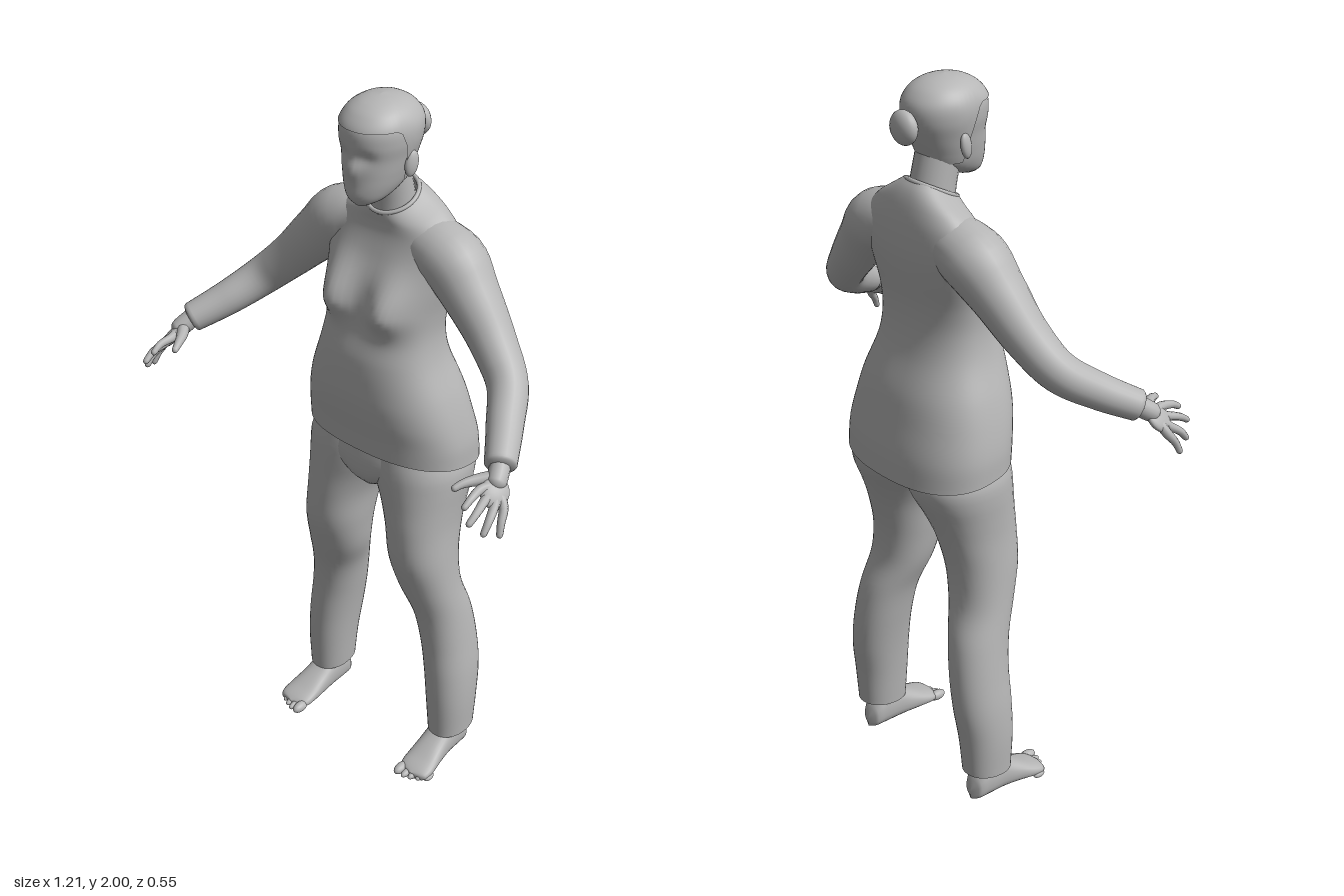
import * as THREE from 'three';

const grey = new THREE.MeshStandardMaterial({ color: 0xb6b6b6, side: THREE.DoubleSide });
grey.name = 'plain grey';

// Closed-around surface from fn(u, v), both 0..1
function surface(fn, nu, nv) {
  const pos = [], idx = [];
  for (let j = 0; j <= nv; j++) {
    for (let i = 0; i < nu; i++) pos.push(...fn(i / nu, j / nv));
  }
  for (let j = 0; j < nv; j++) {
    for (let i = 0; i < nu; i++) {
      const a = j * nu + i, b = j * nu + (i + 1) % nu;
      idx.push(a, b, b + nu, a, b + nu, a + nu);
    }
  }
  const g = new THREE.BufferGeometry();
  g.setAttribute('position', new THREE.Float32BufferAttribute(pos, 3));
  g.setIndex(idx);
  g.computeVertexNormals();
  return g;
}

// Smooth lookup in a table whose first column is the key
function sample(table, t) {
  const n = table.length;
  let i = 0;
  while (i < n - 2 && t > table[i + 1][0]) i++;
  const p0 = table[Math.max(i - 1, 0)], p1 = table[i], p2 = table[i + 1], p3 = table[Math.min(i + 2, n - 1)];
  const h = p2[0] - p1[0], s = Math.min(Math.max((t - p1[0]) / h, 0), 1);
  return p1.map((_, k) => {
    const m1 = (p2[k] - p0[k]) / (p2[0] - p0[0]) * h, m2 = (p3[k] - p1[k]) / (p3[0] - p1[0]) * h;
    const s2 = s * s, s3 = s2 * s;
    return (2 * s3 - 3 * s2 + 1) * p1[k] + (s3 - 2 * s2 + s) * m1 + (3 * s2 - 2 * s3) * p2[k] + (s3 - s2) * m2;
  });
}

const pow = (c, n) => Math.sign(c) * Math.pow(Math.abs(c), 2 / n);
const bump = (x, y, cx, cy, sx, sy) => Math.exp(-(((x - cx) / sx) ** 2) - ((y - cy) / sy) ** 2);

// Point on a rounded section: row = [y, x0, x1, zFront, zBack, tilt]
function ringPoint(table, y, u, n) {
  const [, x0, x1, zf, zb, tilt = 0] = sample(table, y);
  const a = u * Math.PI * 2;
  const dz = (zf - zb) / 2 * pow(Math.cos(a), n);
  return [(x0 + x1) / 2 + (x1 - x0) / 2 * pow(Math.sin(a), n), y + tilt * dz, (zf + zb) / 2 + dz];
}
const range = (table, v) => THREE.MathUtils.lerp(table[0][0], table[table.length - 1][0], v);
const both = rows => rows.map(([y, w, ...r]) => [y, -w, w, ...r]);

// Tapering tube; rows = [x, y, z, radius], rounded off over the last part
function taper(rows, tip, nu = 14, nv = 24) {
  const curve = new THREE.CatmullRomCurve3(rows.map(r => new THREE.Vector3(r[0], r[1], r[2])));
  const frames = curve.computeFrenetFrames(nv);
  const radii = rows.map((r, i) => [i / (rows.length - 1), r[3]]);
  // ring spacing by parameter, denser at the tip
  return surface((u, v) => {
    const k = Math.round(v * nv), t = 1 - Math.pow(1 - v, 1.6);
    const p = curve.getPoint(t), a = u * Math.PI * 2;
    const e = Math.max(0, (t - 1 + tip) / tip);
    const r = sample(radii, t)[1] * Math.sqrt(Math.max(0, 1 - e * e));
    const f = Math.min(nv, Math.round(t * nv));
    p.addScaledVector(frames.normals[k === nv ? nv : f], r * Math.cos(a));
    p.addScaledVector(frames.binormals[k === nv ? nv : f], r * Math.sin(a));
    return p.toArray();
  }, nu, nv);
}

function add(group, name, geo) {
  const m = new THREE.Mesh(geo, grey);
  m.name = name;
  group.add(m);
  return m;
}
function ball(group, name, p, s) {
  const m = add(group, name, new THREE.SphereGeometry(1, 20, 14));
  m.position.set(...p);
  m.scale.set(...s);
  return m;
}

const shirt = both([
  [0.995, 0.25, 0.045, -0.272, 0.16], [1.06, 0.248, 0.05, -0.266, 0.1], [1.13, 0.235, 0.06, -0.25, 0.04],
  [1.2, 0.215, 0.064, -0.233, 0], [1.3, 0.178, 0.057, -0.2, 0], [1.37, 0.166, 0.038, -0.187, 0],
  [1.44, 0.17, 0.018, -0.187, 0], [1.52, 0.185, 0, -0.2, 0], [1.58, 0.195, -0.02, -0.205, 0],
  [1.64, 0.185, -0.035, -0.2, -0.12], [1.68, 0.145, -0.038, -0.188, -0.28],
  [1.705, 0.098, -0.036, -0.174, -0.42], [1.72, 0.07, -0.035, -0.16, -0.5]]);
const seat = both([[0.885, 0.03, 0, -0.1], [0.92, 0.1, 0.03, -0.2], [0.97, 0.2, 0.037, -0.235], [1.03, 0.215, 0.03, -0.235]]);
const leg = [
  [0.09, 0.17, 0.285, -0.035, -0.178, -0.08], [0.2, 0.16, 0.29, -0.03, -0.187, 0], [0.3, 0.148, 0.287, -0.03, -0.2, 0],
  [0.4, 0.132, 0.275, -0.03, -0.2, 0], [0.5, 0.112, 0.262, -0.018, -0.187, 0], [0.6, 0.078, 0.25, 0.012, -0.158, 0],
  [0.7, 0.06, 0.242, 0.038, -0.16, 0], [0.8, 0.045, 0.236, 0.04, -0.185, 0], [0.87, 0.02, 0.238, 0.037, -0.212, 0],
  [0.93, -0.01, 0.242, 0.036, -0.24, 0], [0.98, -0.025, 0.24, 0.034, -0.248, 0], [1.04, -0.03, 0.215, 0.025, -0.22, 0]];
const skull = both([
  [1.735, 0.018, 0.036, 0.0], [1.75, 0.045, 0.048, -0.05], [1.78, 0.065, 0.056, -0.11], [1.82, 0.077, 0.056, -0.132],
  [1.86, 0.085, 0.056, -0.15], [1.9, 0.093, 0.06, -0.163], [1.94, 0.092, 0.056, -0.162], [1.97, 0.076, 0.034, -0.142],
  [1.988, 0.052, 0.006, -0.115], [1.997, 0.026, -0.025, -0.085], [2, 0, -0.052, -0.056]]);
// rows = [z, centre x, half width, top]
const sole = [
  [-0.163, 0.225, 0, 0.03], [-0.155, 0.225, 0.026, 0.06], [-0.12, 0.225, 0.038, 0.1], [-0.07, 0.225, 0.041, 0.1],
  [-0.02, 0.227, 0.045, 0.072], [0.03, 0.231, 0.05, 0.045], [0.06, 0.233, 0.048, 0.032], [0.075, 0.234, 0.035, 0.024], [0.08, 0.234, 0, 0.02]];

// Arm, leg and foot of the left side
function buildSide(group) {
  add(group, 'sleeve', taper([
    [0.1, 1.61, -0.115, 0.075], [0.18, 1.585, -0.115, 0.086], [0.255, 1.515, -0.103, 0.073], [0.34, 1.425, -0.085, 0.06],
    [0.415, 1.35, -0.05, 0.053], [0.473, 1.293, 0.03, 0.047], [0.533, 1.243, 0.122, 0.04]], 0.015, 24, 40));

  // Hand
  const wrist = [0.525, 1.25, 0.11];
  add(group, 'wrist', taper([[...wrist, 0.026], [0.54, 1.228, 0.14, 0.026], [0.55, 1.212, 0.165, 0.022]], 0.3));
  const palm = ball(group, 'palm', [0.552, 1.203, 0.165], [0.038, 0.016, 0.042]);
  const across = new THREE.Vector3(0.05, -0.04, -0.035).normalize();
  const along = new THREE.Vector3(0.022, -0.05, 0.06).normalize();
  const up = along.clone().cross(across).normalize();
  palm.quaternion.setFromRotationMatrix(new THREE.Matrix4().makeBasis(across, up, across.clone().cross(up)));
  const fingers = {
    indexFinger: [[0.53, 1.217, 0.192], [0.533, 1.212, 0.232], [0.532, 1.195, 0.263]],
    middleFinger: [[0.548, 1.198, 0.195], [0.556, 1.183, 0.24], [0.555, 1.162, 0.273]],
    ringFinger: [[0.566, 1.183, 0.183], [0.578, 1.157, 0.22], [0.58, 1.128, 0.245]],
    littleFinger: [[0.58, 1.175, 0.165], [0.592, 1.143, 0.188], [0.599, 1.11, 0.202]] };
  for (const [name, [a, b, c]] of Object.entries(fingers)) {
    add(group, name, taper([[0.545, 1.215, 0.155, 0.014], [...a, 0.0125], [...b, 0.01], [...c, 0.008]], 0.08, 10, 16));
  }
  add(group, 'thumb', taper([[0.535, 1.228, 0.14, 0.018], [0.507, 1.225, 0.175, 0.015],
    [0.488, 1.222, 0.208, 0.011], [0.476, 1.213, 0.236, 0.008]], 0.08, 10, 16));

  // Trouser leg
  add(group, 'trouserLeg', surface((u, v) => ringPoint(leg, range(leg, v), u, 2.15), 36, 48));

  // Foot
  add(group, 'foot', surface((u, v) => {
    const [z, x, w, top] = sample(sole, range(sole, v)), a = u * Math.PI * 2;
    return [x - w * pow(Math.sin(a), 2.3), 0.003 + top / 2 * (1 + pow(Math.cos(a), 2.6)), z];
  }, 28, 32));
  add(group, 'ankle', new THREE.CylinderGeometry(0.04, 0.038, 0.16, 20).translate(0.225, 0.14, -0.108));
  for (let i = 0; i < 5; i++) {
    const r = i === 0 ? 0.015 : 0.0115 - i * 0.0006;
    ball(group, 'toe', [0.199 + i * 0.0195 - (i ? 0 : 0.002), r + 0.001, 0.077 - i * i * 0.0018], [r, r, 0.027 - i * 0.002]);
  }

  // Ear
  const ear = ball(group, 'ear', [0.089, 1.84, -0.062], [0.011, 0.034, 0.019]);
  ear.rotation.set(-0.2, -0.3, 0);
}

export function createModel() {
  const model = new THREE.Group();
  model.name = 'standingFigure';

  // Shirt with bust
  add(model, 'shirt', surface((u, v) => {
    const p = ringPoint(shirt, range(shirt, v), u, 2.4), front = Math.cos(u * Math.PI * 2);
    if (front > 0) {
      const y = p[1] > 1.45 ? p[1] : 1.45 + (p[1] - 1.45) * 1.5;
      p[2] += 0.055 * Math.min(1, front * 2) * (bump(p[0], y, 0.085, 1.455, 0.06, 0.085) + bump(p[0], y, -0.085, 1.455, 0.06, 0.085));
    }
    return p;
  }, 64, 80));
  const collar = add(model, 'collar', new THREE.TorusGeometry(0.068, 0.006, 8, 40));
  collar.position.set(0, 1.72, -0.0975);
  collar.rotation.x = Math.PI / 2 + 0.46;

  // Trouser seat
  add(model, 'trouserSeat', surface((u, v) => ringPoint(seat, range(seat, v), u, 2.3), 40, 14));

  // Neck and head
  add(model, 'neck', taper([[0, 1.62, -0.108, 0.064], [0, 1.72, -0.094, 0.059], [0, 1.82, -0.07, 0.058]], 0.05, 24));
  add(model, 'head', surface((u, v) => {
    const p = ringPoint(skull, range(skull, 1 - (1 - v) ** 1.4), u, 2.1);
    if (Math.cos(u * Math.PI * 2) > 0) {
      const [x, y] = p;
      p[2] += 0.012 * bump(x, y, 0, 1.84, 0.018, 0.03) + 0.004 * bump(x, y, 0, 1.765, 0.03, 0.02)
        - 0.008 * (bump(x, y, 0.034, 1.87, 0.022, 0.02) + bump(x, y, -0.034, 1.87, 0.022, 0.02));
    }
    return p;
  }, 48, 48));

  // Hair cap: high hairline in front, low at the nape
  add(model, 'hair', surface((u, v) => {
    const c = Math.cos(u * Math.PI * 2);
    const edge = c > 0.35 ? 1.94 : THREE.MathUtils.lerp(1.79, 1.94, THREE.MathUtils.smoothstep(c, -0.3, 0.35));
    const p = ringPoint(skull, THREE.MathUtils.lerp(edge, 2, 1 - (1 - v) ** 1.4), u, 2.1);
    return [p[0] * 1.04, 1.9 + (p[1] - 1.9) * 1.005, -0.054 + (p[2] + 0.054) * 1.035];
  }, 48, 28));
  ball(model, 'hairBun', [0, 1.89, -0.183], [0.045, 0.044, 0.026]);

  // Mirrored limbs
  for (const [name, s] of [['leftSide', 1], ['rightSide', -1]]) {
    const side = new THREE.Group();
    side.name = name;
    buildSide(side);
    side.scale.x = s;
    model.add(side);
  }
  return model;
}
